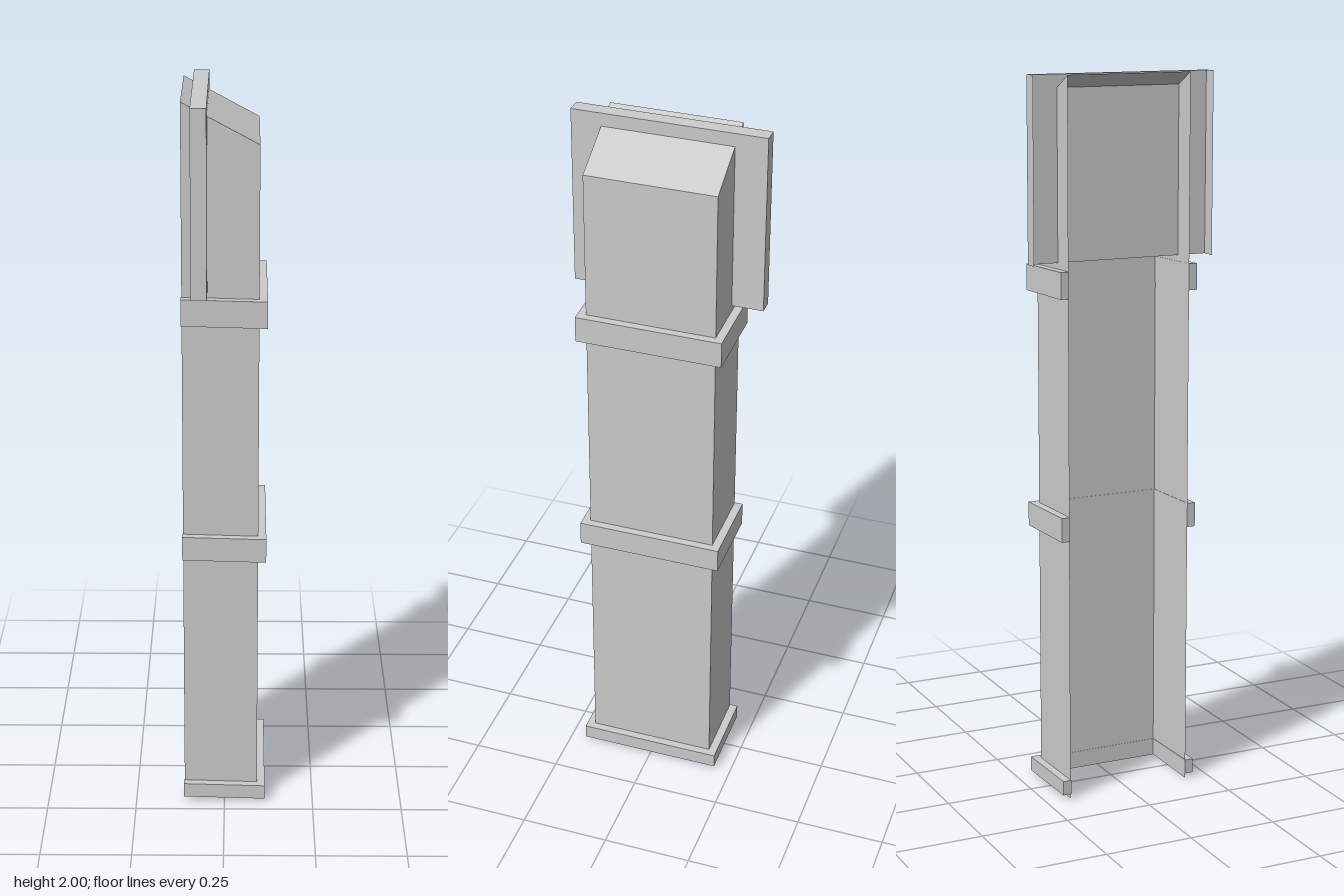
import * as THREE from 'three';

const solid = new THREE.MeshStandardMaterial({ color: 0xcccccc, flatShading: true });
const sheet = new THREE.MeshStandardMaterial({ color: 0xcccccc, flatShading: true, side: THREE.DoubleSide });

// Column channel: open towards -x and at the bottom
const BACK = -0.113, FACE = 0.092, HALF = 0.18, Z0 = 0.002;
const EAVE = 1.89, TOP = 2;

function add(parent, name, geometry, material) {
  const mesh = new THREE.Mesh(geometry, material);
  mesh.name = name;
  parent.add(mesh);
  return mesh;
}

// Thin rectangle from four corners in order
function quad(...corners) {
  const g = new THREE.BufferGeometry();
  g.setAttribute('position', new THREE.Float32BufferAttribute(corners.flat(), 3));
  g.setIndex([0, 1, 2, 0, 2, 3]);
  g.computeVertexNormals();
  return g;
}

function createColumn() {
  const column = new THREE.Group();
  column.name = 'column';
  for (const s of [1, -1]) {
    const z = Z0 + s * HALF;
    const corners = [[BACK, 0, z], [FACE, 0, z], [FACE, EAVE, z], [BACK, TOP, z]];
    if (s < 0) corners.reverse();
    add(column, s > 0 ? 'frontWall' : 'backWall', quad(...corners), sheet);
  }
  const a = Z0 + HALF, b = Z0 - HALF;
  add(column, 'outerWall', quad([FACE, 0, a], [FACE, 0, b], [FACE, EAVE, b], [FACE, EAVE, a]), sheet);
  add(column, 'slopedRoof', quad([BACK, TOP, a], [FACE, EAVE, a], [FACE, EAVE, b], [BACK, TOP, b]), sheet);
  return column;
}

// U-shaped band around three sides, dipping slightly towards +x
function createBand(y0, y1) {
  const out = 0.203, inn = HALF - 0.001, x0 = -0.115, x1 = 0.114;
  const shape = new THREE.Shape([
    [x0, -out], [x1, -out], [x1, out], [x0, out],
    [x0, inn], [FACE - 0.001, inn], [FACE - 0.001, -inn], [x0, -inn],
  ].map(([x, y]) => new THREE.Vector2(x, y)));
  const g = new THREE.ExtrudeGeometry(shape, { depth: y1 - y0, bevelEnabled: false });
  g.rotateX(-Math.PI / 2);
  g.translate(0, y0, Z0);
  const p = g.attributes.position;
  for (let i = 0; i < p.count; i++) {
    p.setY(i, p.getY(i) - 0.006 * (p.getX(i) - x0) / (x1 - x0));
  }
  g.computeVertexNormals();
  return g;
}

// Cross panel with a top and two end flanges, open towards -x
function createHeadPanel() {
  const head = new THREE.Group();
  head.name = 'headPanel';
  const xb = -0.087, xf = -0.045, y0 = 1.5, y1 = 2, h = 0.265;
  add(head, 'panelFace', quad([xf, y0, h], [xf, y0, -h], [xf, y1, -h], [xf, y1, h]), sheet);
  add(head, 'panelTop', quad([xb, y1, h], [xf, y1, h], [xf, y1, -h], [xb, y1, -h]), sheet);
  add(head, 'frontFlange', quad([xb, y0, h], [xf, y0, h], [xf, y1, h], [xb, y1, h]), sheet);
  add(head, 'backFlange', quad([xf, y0, -h], [xb, y0, -h], [xb, y1, -h], [xf, y1, -h]), sheet);
  return head;
}

export function createModel() {
  const model = new THREE.Group();
  model.name = 'cornerPost';
  model.add(createColumn());
  const bands = { baseBand: [0.014, 0.055], middleBand: [0.745, 0.813], upperBand: [1.412, 1.485] };
  for (const [name, [y0, y1]] of Object.entries(bands)) add(model, name, createBand(y0, y1), solid);
  model.add(createHeadPanel());
  return model;
}
